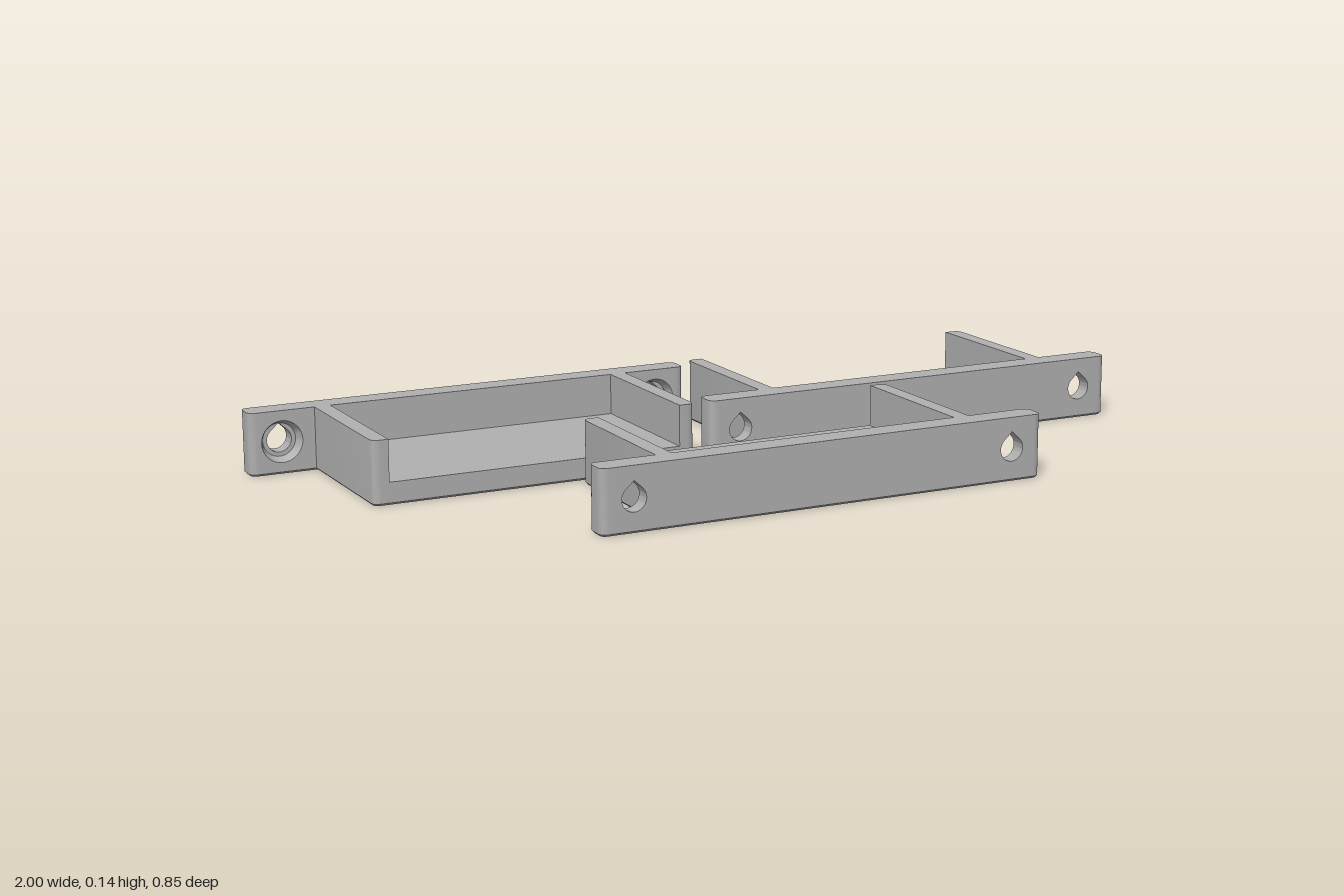
import * as THREE from 'three';
import { toCreasedNormals } from 'three/addons/utils/BufferGeometryUtils.js';

const H = 0.143;          // overall height
const CH = 0.005;         // bottom chamfer
const FLOOR = 0.05;       // top of the tray floor
const BODY = 0.377, INNER = 0.34;     // half widths of the tray, outside and inside
const PLATE = 0.5275, SLAB = 0.505;   // half widths of the plate, with and without rounded ends
const Z0 = 0.357, Z1 = 0.415;         // inner and outer face of the plate
const SINK = 0.022;       // countersink depth
const R = 0.018;          // corner rounding
const HOLE_X = 0.453, HOLE_Y = 0.073;

const grey = new THREE.MeshStandardMaterial({ color: 0xb0b0b0 });
grey.name = 'grey plastic';

// closed outline from [x, y, radius] corners
function outline(points) {
  const shape = new THREE.Shape();
  const n = points.length;
  points.forEach(([x, y, r = 0], i) => {
    const p = new THREE.Vector2(x, y);
    const toward = (q) => new THREE.Vector2(q[0], q[1]).sub(p).setLength(r).add(p);
    const a = toward(points[(i + n - 1) % n]);
    const b = toward(points[(i + 1) % n]);
    if (i === 0) shape.moveTo(a.x, a.y);
    else shape.lineTo(a.x, a.y);
    if (r > 0) shape.quadraticCurveTo(x, y, b.x, b.y);
  });
  shape.closePath();
  return shape;
}

function part(name, geometry) {
  const mesh = new THREE.Mesh(toCreasedNormals(geometry, 0.5), grey);
  mesh.name = name;
  return mesh;
}

// floor-plan outline (x, z) raised from y0 to y1
function raised(points, y0, y1) {
  return new THREE.ExtrudeGeometry(outline(points), { depth: y1 - y0, bevelEnabled: false, curveSegments: 6 })
    .rotateX(Math.PI / 2).translate(0, y1, 0);
}

// thin layer under the whole part, with a chamfered lower edge
function chamferedBase() {
  const right = [[BODY, 0, R], [BODY, Z0], [PLATE, Z0, R], [PLATE, Z1, R]];
  const left = right.map(([x, z, r]) => [-x, z, r]).reverse();
  const geo = new THREE.ExtrudeGeometry(outline([...right, ...left]), {
    depth: 0.0005, bevelThickness: CH, bevelSize: CH, bevelOffset: -CH, bevelSegments: 1, curveSegments: 6,
  });
  const pos = geo.attributes.position;
  for (let i = 0; i < pos.count; i++) pos.setZ(i, Math.max(0, pos.getZ(i)));
  return geo.rotateX(Math.PI / 2).translate(0, CH + 0.0005, 0);
}

// plate layer with one hole on each side
function drilledLayer(addHole, z0, z1) {
  const shape = outline([[-SLAB, CH], [SLAB, CH], [SLAB, H], [-SLAB, H]]);
  for (const s of [-1, 1]) {
    const hole = new THREE.Path();
    addHole(hole, s * HOLE_X);
    shape.holes.push(hole);
  }
  return new THREE.ExtrudeGeometry(shape, { depth: z1 - z0, bevelEnabled: false, curveSegments: 20 })
    .translate(0, 0, z0);
}

const teardrop = (path, x) => {
  path.absarc(x, HOLE_Y, 0.028, Math.PI * 0.75, Math.PI * 2.25, false);
  path.lineTo(x, HOLE_Y + 0.038);
  path.closePath();
};
const circle = (path, x) => path.absarc(x, HOLE_Y, 0.047, 0, Math.PI * 2, false);

// round holes narrowed toward the outer face
function countersunkLayer() {
  const geo = drilledLayer(circle, Z0, Z0 + SINK);
  const pos = geo.attributes.position;
  for (let i = 0; i < pos.count; i++) {
    const cx = Math.sign(pos.getX(i)) * HOLE_X;
    const dx = pos.getX(i) - cx, dy = pos.getY(i) - HOLE_Y;
    if (Math.hypot(dx, dy) < 0.048 && pos.getZ(i) > Z0 + SINK / 2) {
      pos.setXY(i, cx + dx * 0.8, HOLE_Y + dy * 0.8);
    }
  }
  return geo;
}

// open tray with a screw plate across its closed end
function bracket(name) {
  const group = new THREE.Group();
  group.name = name;
  group.add(part('base', chamferedBase()));
  group.add(part('floor', new THREE.BoxGeometry(2 * INNER, FLOOR - CH, Z0)
    .translate(0, (FLOOR + CH) / 2, Z0 / 2)));
  for (const s of [-1, 1]) {
    const side = s > 0 ? 'left' : 'right';
    group.add(part(side + 'Wall', raised(
      [[s * INNER, 0], [s * BODY, 0, R], [s * BODY, Z0], [s * INNER, Z0]], CH, H)));
    group.add(part(side + 'PlateEnd', raised(
      [[s * SLAB, Z0], [s * PLATE, Z0, R], [s * PLATE, Z1, R], [s * SLAB, Z1]], CH, H)));
  }
  group.add(part('plateInside', countersunkLayer()));
  group.add(part('plateOutside', drilledLayer(teardrop, Z0 + SINK, Z1)));
  return group;
}

export function createModel() {
  const model = new THREE.Group();
  model.name = 'brackets';

  const front = bracket('frontBracket');
  front.position.set(0, 0, 0.01);

  const backLeft = bracket('backLeftBracket');
  backLeft.position.set(0.4725, 0, -0.427);

  const backRight = bracket('backRightBracket');
  backRight.rotation.y = Math.PI;
  backRight.position.set(-0.4725, 0, -0.012);

  model.add(front, backLeft, backRight);
  return model;
}
